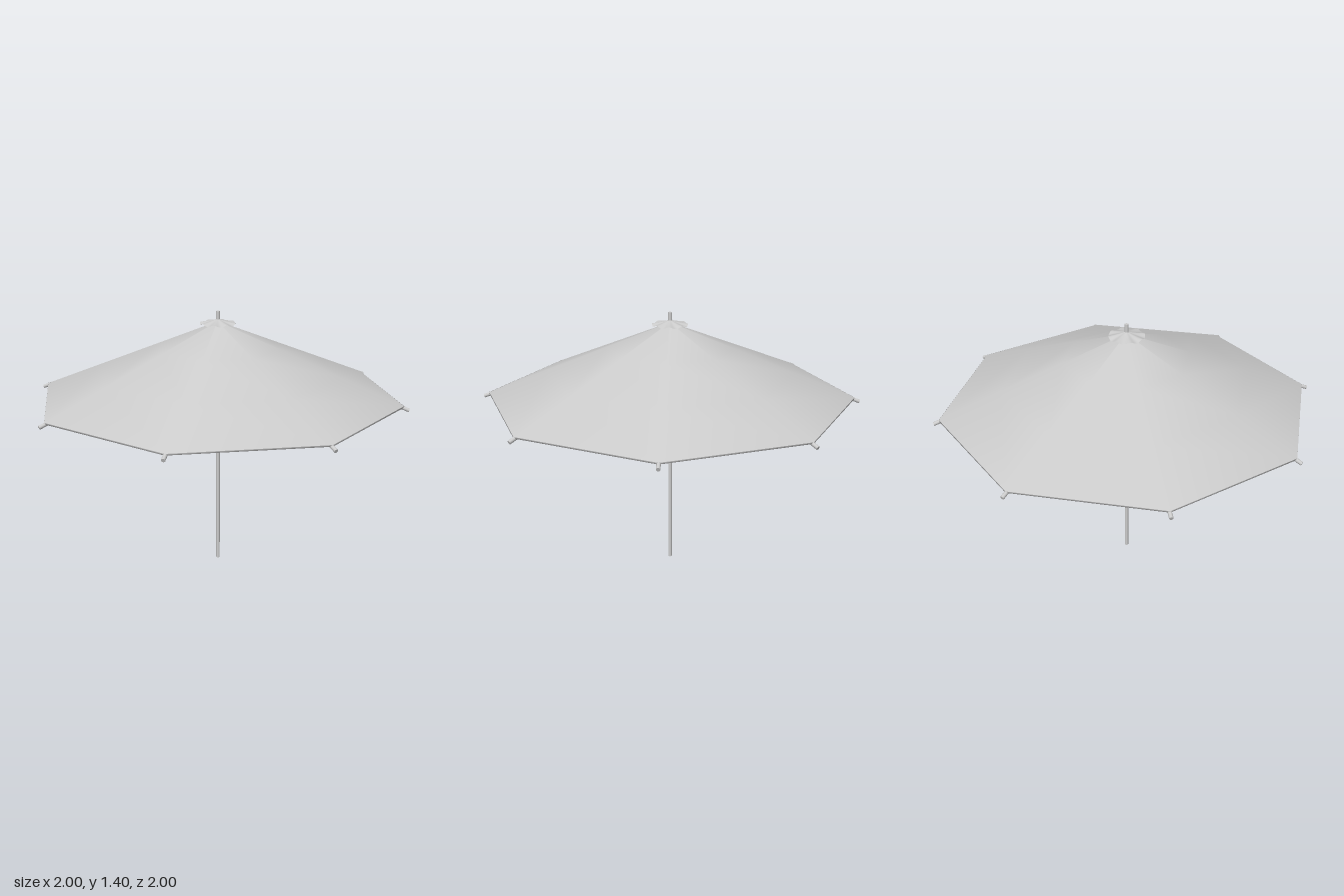
import * as THREE from 'three';

const grey = new THREE.MeshStandardMaterial({ color: 0xcccccc });
const cloth = new THREE.MeshStandardMaterial({ color: 0xcccccc, side: THREE.DoubleSide });
const SIDES = 8;

const profile = (pts) => pts.map(([r, y]) => new THREE.Vector2(r, y));

function add(parent, name, geometry, material = grey) {
  const mesh = new THREE.Mesh(geometry, material);
  mesh.name = name;
  parent.add(mesh);
  return mesh;
}

// Round bar between two [radius, height] points in the plane of one rib
function bar(parent, name, [r0, y0], [r1, y1], radius) {
  const a = new THREE.Vector3(r0, y0, 0);
  const b = new THREE.Vector3(r1, y1, 0);
  const dir = b.clone().sub(a);
  const mesh = add(parent, name, new THREE.CylinderGeometry(radius, radius, dir.length(), 12));
  mesh.position.copy(a).add(b).multiplyScalar(0.5);
  mesh.quaternion.setFromUnitVectors(new THREE.Vector3(0, 1, 0), dir.normalize());
  return mesh;
}

export function createModel() {
  const parasol = new THREE.Group();
  parasol.name = 'parasol';

  // Pole
  add(parasol, 'pole', new THREE.CylinderGeometry(0.01, 0.01, 1.4, 20)).position.y = 0.7;

  // Eight-sided canopy with a narrow hem
  add(parasol, 'canopy', new THREE.LatheGeometry(
    profile([[0.97, 0.956], [0.65, 1.085], [0.33, 1.214], [0.006, 1.345]]), SIDES), cloth);
  add(parasol, 'canopyHem', new THREE.LatheGeometry(
    profile([[0.964, 0.949], [0.97, 0.949], [0.97, 0.957]]), SIDES), cloth);

  // Vent cap with a gently rippled rim
  const cap = new THREE.LatheGeometry(
    profile([[0.093, 1.336], [0.062, 1.343], [0.031, 1.351], [0.006, 1.359]]), 64);
  const p = cap.attributes.position;
  for (let i = 0; i < p.count; i++) {
    const x = p.getX(i), z = p.getZ(i);
    const t = Math.hypot(x, z) / 0.093;
    p.setY(i, p.getY(i) + 0.005 * t * t * Math.cos(SIDES * Math.atan2(z, x)));
  }
  cap.computeVertexNormals();
  add(parasol, 'ventCap', cap, cloth);

  // Upper hub and sliding runner
  add(parasol, 'upperHub', new THREE.LatheGeometry(
    profile([[0.01, 1.275], [0.02, 1.28], [0.03, 1.297], [0.03, 1.31], [0.022, 1.325], [0.01, 1.33]]), 24));
  add(parasol, 'runner', new THREE.LatheGeometry(
    profile([[0.01, 0.966], [0.018, 0.972], [0.022, 0.985], [0.018, 0.998], [0.01, 1.004]]), 24));

  // Ribs, tips and struts
  for (let i = 0; i < SIDES; i++) {
    const arm = new THREE.Group();
    arm.name = 'ribArm' + (i + 1);
    arm.rotation.y = (i / SIDES) * Math.PI * 2;
    bar(arm, 'rib', [0.015, 1.324], [0.96, 0.949], 0.009);
    bar(arm, 'ribTip', [0.95, 0.953], [0.996, 0.936], 0.01);
    bar(arm, 'strut', [0.012, 0.985], [0.35, 1.188], 0.006);
    parasol.add(arm);
  }

  return parasol;
}
